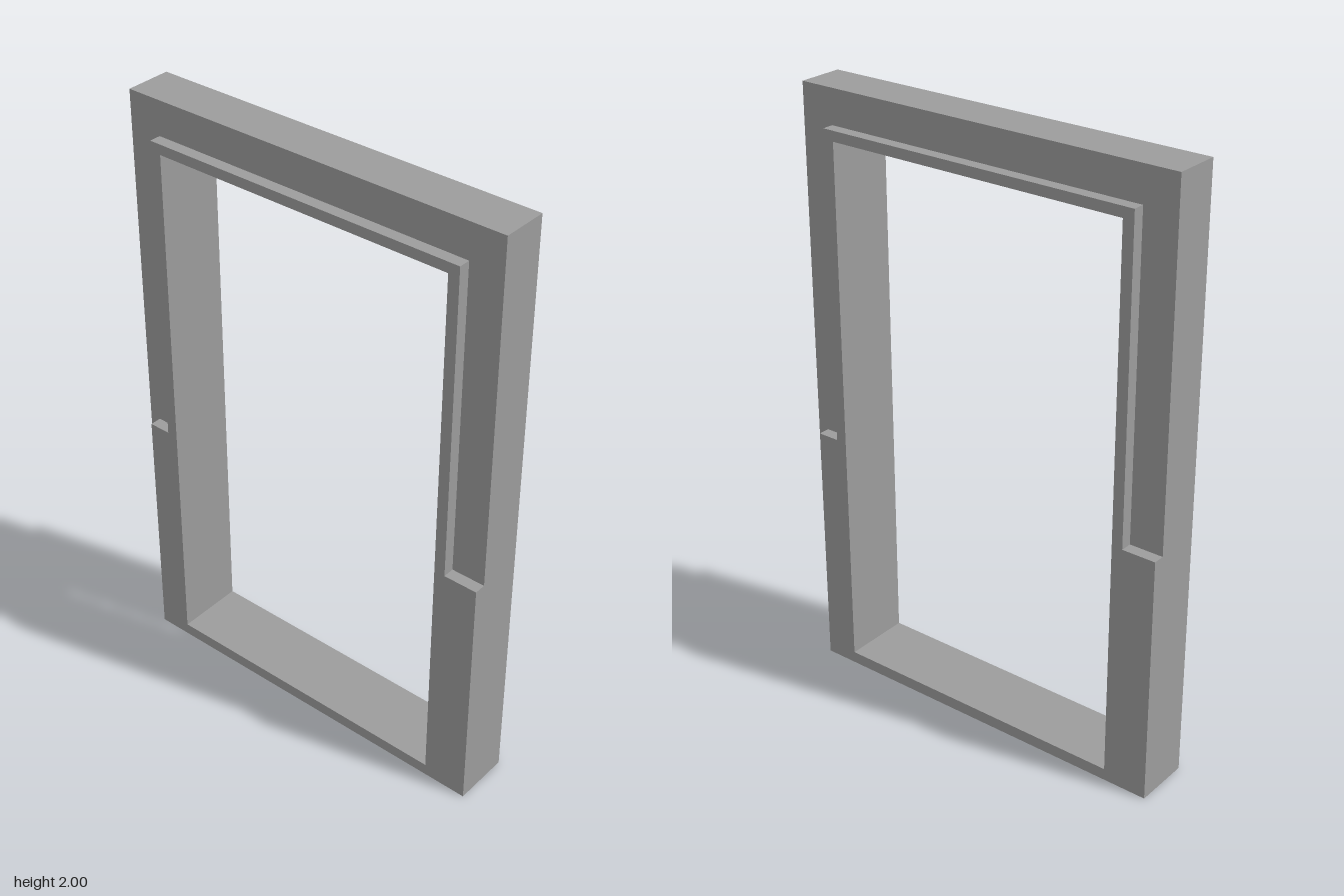
import * as THREE from 'three';

const CORE = 0.077;   // half thickness of the main frame
const FACE = 0.116;   // half thickness including the raised casing
const HALF = 0.672;   // half width
const HEIGHT = 2;

// Flat outline with the doorway cut out, extruded along x from x0 to x1
function framePiece(name, outline, x0, x1, material) {
  const shape = new THREE.Shape(outline.map(([u, v]) => new THREE.Vector2(u, v)));
  const opening = [[-0.521, 0.04], [-0.521, 1.851], [0.521, 1.851], [0.521, 0.04]];
  shape.holes.push(new THREE.Path(opening.map(([u, v]) => new THREE.Vector2(u, v))));
  const geometry = new THREE.ExtrudeGeometry(shape, { depth: x1 - x0, bevelEnabled: false });
  geometry.translate(0, 0, x0);
  geometry.rotateY(Math.PI / 2);
  const mesh = new THREE.Mesh(geometry, material);
  mesh.name = name;
  return mesh;
}

export function createModel() {
  const model = new THREE.Group();
  model.name = 'doorFrame';
  const material = new THREE.MeshStandardMaterial({ color: 0x9c9c9c, flatShading: true });

  // Main rectangular frame
  const rectangle = [[-HALF, 0], [HALF, 0], [HALF, HEIGHT], [-HALF, HEIGHT]];
  model.add(framePiece('mainFrame', rectangle, -CORE, CORE, material));

  // Stepped casing on both faces: narrow above, wider below, one foot flush with the edge
  const casing = [
    [-0.634, 0], [HALF, 0], [HALF, 0.844], [0.558, 0.844],
    [0.558, 1.885], [-0.558, 1.885], [-0.558, 0.844], [-0.634, 0.844],
  ];
  ['leftCasing', 'rightCasing'].forEach((name, i) => {
    const mesh = framePiece(name, casing, CORE, FACE, material);
    mesh.rotation.y = i * Math.PI;
    model.add(mesh);
  });

  return model;
}
